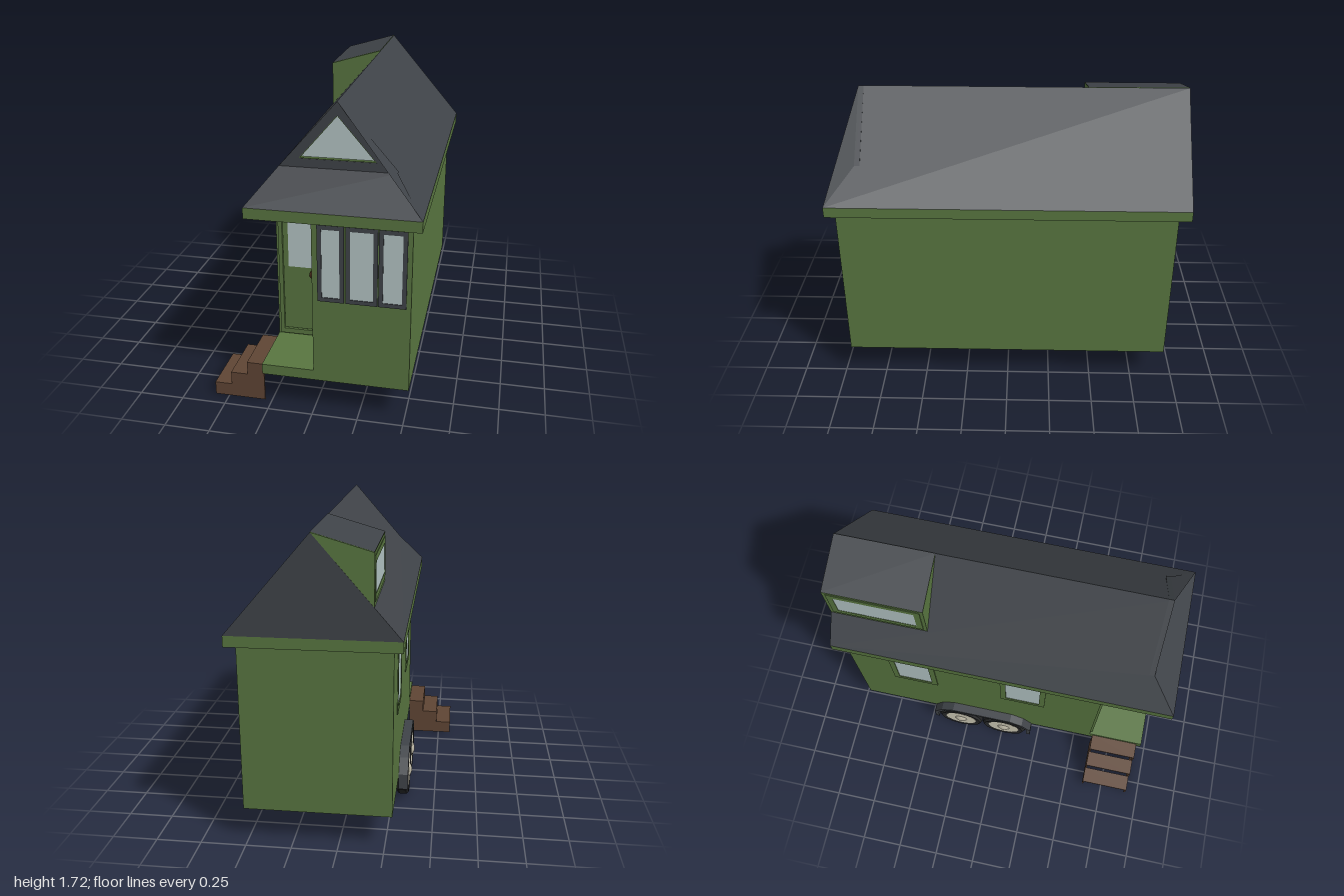
import * as THREE from 'three';

const mat = (color, extra = {}) => {
  const m = new THREE.MeshStandardMaterial({ color, ...extra });
  return m;
};

export function createModel() {
  const house = new THREE.Group();
  house.name = 'tinyHouse';
  const green = mat(0x587540);
  const dark = mat(0x3f4348, { side: THREE.DoubleSide });
  const glass = mat(0xb4c5c5);
  const wood = mat(0x5f4534);
  const rubber = mat(0x262728, { flatShading: true });
  const rim = mat(0xcfcab6, { flatShading: true });
  const hubMat = mat(0xb9b4a2);
  const knobMat = mat(0x4a2a1a);

  const add = (name, geometry, material, parent = house) => {
    const mesh = new THREE.Mesh(geometry, material);
    mesh.name = name;
    parent.add(mesh);
    return mesh;
  };
  // Box given by its limits on each axis
  const box = (name, [x0, x1], [y0, y1], [z0, z1], material, parent) => {
    const g = new THREE.BoxGeometry(x1 - x0, y1 - y0, z1 - z0);
    g.translate((x0 + x1) / 2, (y0 + y1) / 2, (z0 + z1) / 2);
    return add(name, g, material, parent);
  };
  const outline = (pts) => new THREE.Shape(pts.map(([x, y]) => new THREE.Vector2(x, y)));
  const extrude = (pts, depth, hole) => {
    const s = outline(pts);
    if (hole) s.holes.push(outline(hole));
    return new THREE.ExtrudeGeometry(s, { depth, bevelEnabled: false });
  };
  // Flat convex panels, corners counter-clockwise seen from outside
  const panels = (faces) => {
    const pos = [];
    for (const f of faces) {
      for (let i = 1; i < f.length - 1; i++) pos.push(...f[0], ...f[i], ...f[i + 1]);
    }
    const g = new THREE.BufferGeometry();
    g.setAttribute('position', new THREE.Float32BufferAttribute(pos, 3));
    g.computeVertexNormals();
    return g;
  };
  const rect = (w, h) => [[-w / 2, -h / 2], [w / 2, -h / 2], [w / 2, h / 2], [-w / 2, h / 2]];
  // Framed window facing +z before turning
  const addWindow = (name, w, h, border, frameMat, position, turn = 0, depth = 0.006) => {
    const g = new THREE.Group();
    g.name = name;
    add('frame', extrude(rect(w, h), depth, rect(w - 2 * border, h - 2 * border)), frameMat, g);
    add('pane', new THREE.PlaneGeometry(w - 2 * border, h - 2 * border).translate(0, 0, 0.002), glass, g);
    g.position.set(...position);
    g.rotation.y = turn;
    house.add(g);
  };

  // Walls: L-shaped plan leaving a porch in the front corner
  const plan = [[-0.29, 0.94], [-0.29, -0.6], [0, -0.6], [0, -0.95], [0.52, -0.95], [0.52, 0.94]];
  const walls = extrude(plan, 0.96);
  walls.rotateX(-Math.PI / 2).translate(0, 0.19, 0);
  add('walls', walls, green);
  box('porchFloor', [-0.29, 0], [0.19, 0.25], [0.6, 0.95], green);
  box('eaves', [-0.34, 0.57], [1.13, 1.19], [-1, 1], green);

  // Windows
  [[0.03, 0.17], [0.18, 0.345], [0.35, 0.495]].forEach(([a, b], i) =>
    addWindow('frontWindow' + (i + 1), b - a, 0.43, 0.023, dark, [(a + b) / 2, 0.895, 0.95]));
  for (const z of [-0.555, 0.13]) {
    addWindow('sideWindow', 0.28, 0.44, 0.035, green, [-0.29, 0.895, z], -Math.PI / 2);
  }
  addWindow('porchWindow', 0.25, 0.44, 0.035, green, [0, 0.895, 0.775], -Math.PI / 2);

  // Door with half-height glass and knob
  const door = new THREE.Group();
  door.name = 'door';
  house.add(door);
  const doorFrame = extrude(rect(0.26, 0.85), 0.015, rect(0.215, 0.79));
  add('doorFrame', doorFrame.translate(-0.145, 0.685, 0.6), green, door);
  box('doorLeaf', [-0.25, -0.04], [0.295, 1.075], [0.595, 0.608], green, door);
  box('doorGlass', [-0.22, -0.07], [0.69, 1.055], [0.6, 0.611], glass, door);
  add('doorKnob', new THREE.SphereGeometry(0.024, 16, 12).translate(-0.072, 0.66, 0.63), knobMat, door);

  // Main roof: two slopes, short front hip and rear gable
  const ridgeX = 0.115, ridgeY = 1.72, eaveY = 1.19, hipY = 1.37, gableZ = 0.84;
  const eaveL = -0.34, eaveR = 0.57, hipL = -0.19, hipR = 0.42;
  add('roof', panels([
    [[eaveR, eaveY, 1], [eaveR, eaveY, -1], [ridgeX, ridgeY, -1], [ridgeX, ridgeY, gableZ], [hipR, hipY, gableZ]],
    [[eaveL, eaveY, -1], [eaveL, eaveY, 1], [hipL, hipY, gableZ], [ridgeX, ridgeY, gableZ], [ridgeX, ridgeY, -1]],
    [[eaveL, eaveY, 1], [eaveR, eaveY, 1], [hipR, hipY, gableZ], [hipL, hipY, gableZ]],
    [[eaveR, eaveY, -1], [eaveL, eaveY, -1], [ridgeX, ridgeY, -1]],
  ]), dark);

  // Front gable with a triangular window
  const opening = [[-0.085, 1.417], [0.315, 1.417], [ridgeX, 1.65]];
  const inner = [[-0.078, 1.42], [0.308, 1.42], [ridgeX, 1.645]];
  const gable = extrude([[hipL, hipY], [hipR, hipY], [ridgeX, ridgeY]], 0.03, opening);
  add('frontGable', gable.translate(0, 0, gableZ - 0.03), dark);
  add('gableWindowLining', extrude(opening, 0.028, inner).translate(0, 0, gableZ - 0.03), green);
  add('gableGlass', new THREE.ShapeGeometry(outline(inner)).translate(0, 0, gableZ - 0.025), glass);

  // Shed dormer at the rear of the left-hand slope
  const dormerX = -0.195, dormerY = 1.63, dz0 = -1, dz1 = -0.44;
  const cheek = extrude([[dormerX, 1.36], [ridgeX, ridgeY], [dormerX, dormerY]], dz1 - dz0);
  add('dormer', cheek.translate(0, 0, dz0), green);
  const lift = 0.003;
  add('dormerRoof', panels([[
    [dormerX, dormerY + lift, dz0], [dormerX, dormerY + lift, dz1],
    [ridgeX, ridgeY + lift, dz1], [ridgeX, ridgeY + lift, dz0],
  ]]), dark);
  addWindow('dormerWindow', 0.52, 0.23, 0.035, green, [dormerX, 1.498, -0.72], -Math.PI / 2, 0.004);

  // Tandem wheels, each a ten-sided tyre with rim and domed hub
  for (const z of [0.015, -0.285]) {
    const wheel = new THREE.Group();
    wheel.name = 'wheel';
    const tyre = [[0.1, -0.03], [0.135, -0.035], [0.148, -0.022], [0.148, 0.022], [0.135, 0.035], [0.1, 0.03], [0.1, -0.03]];
    add('tyre', new THREE.LatheGeometry(tyre.map(([r, y]) => new THREE.Vector2(r, y)), 12), rubber, wheel);
    add('rim', new THREE.CylinderGeometry(0.106, 0.106, 0.064, 12), rim, wheel);
    const hub = new THREE.SphereGeometry(0.055, 16, 12);
    add('hub', hub.scale(1, 0.9, 1), hubMat, wheel);
    wheel.rotation.z = Math.PI / 2;
    wheel.position.set(-0.31, 0.148, z);
    house.add(wheel);
  }

  // Fender arching over both wheels
  const fender = extrude([
    [0.2, 0.105], [0.2, 0.2], [0.14, 0.285], [0.06, 0.325], [-0.33, 0.325], [-0.41, 0.285], [-0.465, 0.2], [-0.465, 0.105],
    [-0.44, 0.105], [-0.44, 0.195], [-0.395, 0.265], [-0.325, 0.3], [0.055, 0.3], [0.125, 0.265], [0.175, 0.195], [0.175, 0.105],
  ], 0.055);
  add('fender', fender.rotateY(-Math.PI / 2).translate(-0.29, 0, 0), dark);

  // Porch steps: stepped stringers with open treads
  const steps = new THREE.Group();
  steps.name = 'porchSteps';
  house.add(steps);
  const xs = [-0.58, -0.483, -0.387, -0.29];
  const ys = [0.077, 0.154, 0.23];
  const profile = [[xs[0], 0]];
  ys.forEach((y, i) => profile.push([xs[i], y], [xs[i + 1], y]));
  profile.push([xs[3], 0]);
  profile.splice(1, profile.length - 1, ...profile.slice(1));
  for (const z of [0.62, 0.91]) {
    add('stringer', extrude(profile, 0.01).translate(0, 0, z), wood, steps);
  }
  ys.forEach((y, i) => box('tread', [xs[i], xs[i + 1]], [y - 0.01, y], [0.625, 0.915], wood, steps));

  return house;
}
